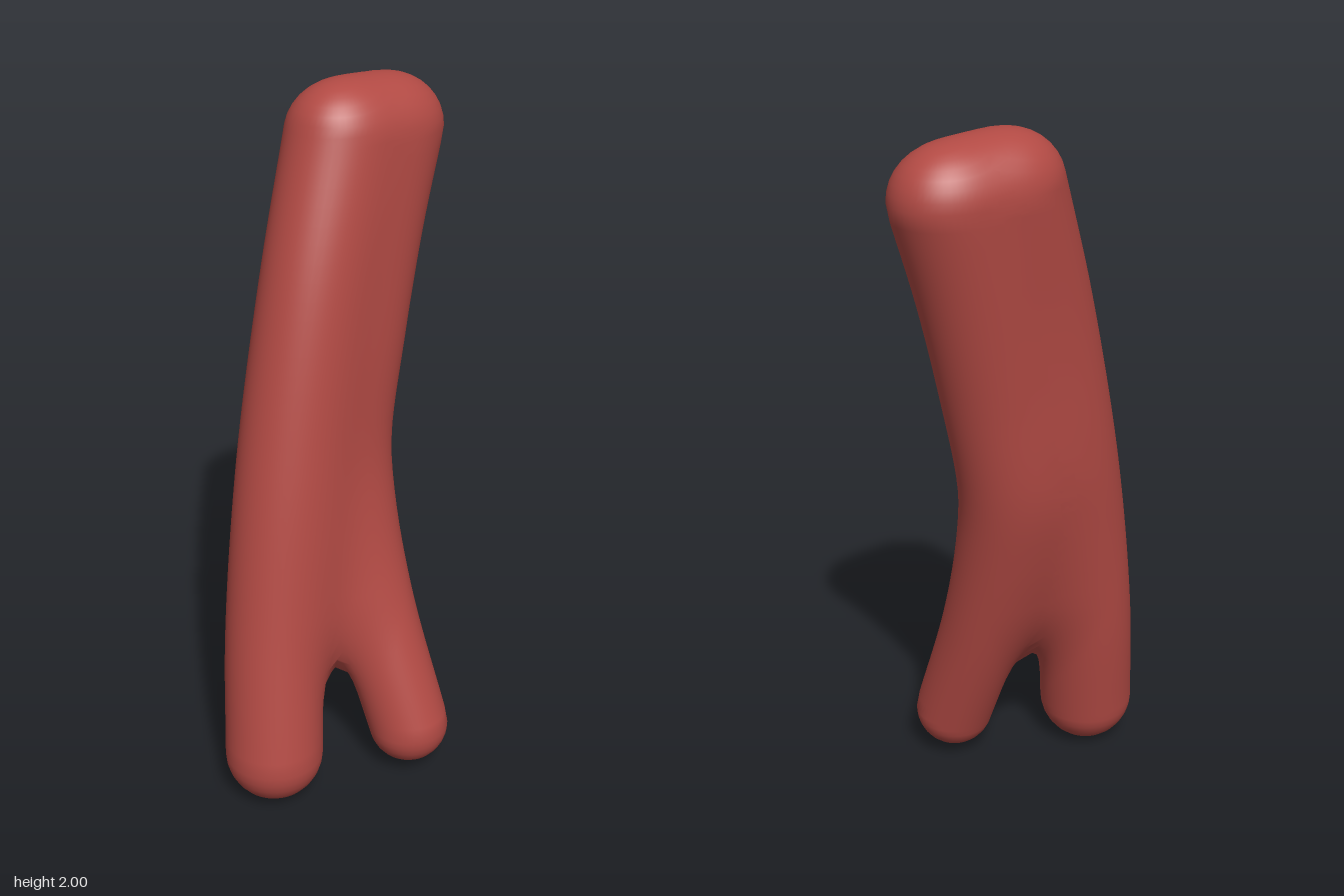
import * as THREE from 'three';

const { lerp, smoothstep, clamp } = THREE.MathUtils;

// A limb is a smooth spine with a radius at its foot and its top
function makeLimb(name, points, footRadius, topRadius) {
  const curve = new THREE.CatmullRomCurve3(points.map(p => new THREE.Vector3(...p)));
  const spine = curve.getSpacedPoints(36);
  return { name, spine, footRadius, topRadius };
}

const limbs = [
  makeLimb('mainLimb', [
    [-0.18, 0.145, 0.268], [-0.178, 0.5, 0.195], [-0.142, 1, 0.1],
    [-0.076, 1.5, -0.012], [-0.015, 1.862, -0.125],
  ], 0.141, 0.136),
  makeLimb('sideLimb', [
    [0.208, 0.145, 0.12], [0.1, 0.5, 0.035], [0.037, 0.8, -0.033], [0.018, 1, -0.078],
    [0.05, 1.3, -0.138], [0.092, 1.6, -0.208], [0.138, 1.845, -0.273],
  ], 0.117, 0.136),
];

// Distance from a point to the rounded surface of one limb
function limbDistance(p, { spine, footRadius, topRadius }) {
  let best = Infinity;
  for (let i = 0; i < spine.length - 1; i++) {
    const a = spine[i], b = spine[i + 1];
    const dx = b.x - a.x, dy = b.y - a.y, dz = b.z - a.z;
    const px = p.x - a.x, py = p.y - a.y, pz = p.z - a.z;
    const t = clamp((px * dx + py * dy + pz * dz) / (dx * dx + dy * dy + dz * dz), 0, 1);
    const radius = lerp(footRadius, topRadius, (i + t) / (spine.length - 1));
    best = Math.min(best, Math.hypot(px - t * dx, py - t * dy, pz - t * dz) - radius);
  }
  return best;
}

// Both limbs blended softly: tight at the feet, widest just above the fork
function blended(p) {
  const a = limbDistance(p, limbs[0]), b = limbDistance(p, limbs[1]);
  const k = 0.12 + 0.12 * smoothstep(p.y, 0.1, 0.6) - 0.055 * smoothstep(p.y, 0.7, 1.8);
  const h = Math.max(k - Math.abs(a - b), 0) / k;
  return Math.min(a, b) - h * h * k / 4;
}

function surfaceNormal(p) {
  const e = 0.008;
  const slope = axis => {
    const q = p.clone(), r = p.clone();
    q[axis] += e;
    r[axis] -= e;
    return blended(q) - blended(r);
  };
  return new THREE.Vector3(slope('x'), slope('y'), slope('z')).normalize();
}

// Walk out from the spine to the skin, stopping just inside the other limb
function castToSkin(origin, direction, own, other) {
  const p = origin.clone();
  for (let i = 0; i < 70; i++) {
    const d = blended(p);
    if (d > -0.0004) break;
    if (limbDistance(p, other) < limbDistance(p, own) - 0.05) break;
    p.addScaledVector(direction, Math.min(-d, 0.012));
  }
  return p;
}

function limbGeometry(own, other) {
  const sides = 48, capSteps = 8;
  const { spine } = own;
  // Rows of rays: rounded foot, length of the spine, rounded top
  const rows = [];
  for (let i = 0; i < capSteps; i++) {
    rows.push([spine[0], (i / capSteps - 1) * Math.PI / 2]);
  }
  spine.forEach(point => rows.push([point, 0]));
  for (let i = 1; i <= capSteps; i++) {
    rows.push([spine[spine.length - 1], i / capSteps * Math.PI / 2]);
  }
  const positions = [], normals = [], indices = [];
  rows.forEach(([origin, elevation], row) => {
    for (let j = 0; j <= sides; j++) {
      const angle = (j % sides) / sides * Math.PI * 2, c = Math.cos(elevation);
      const direction = new THREE.Vector3(
        Math.cos(angle) * c, Math.sin(elevation), Math.sin(angle) * c);
      const p = castToSkin(origin, direction, own, other);
      positions.push(p.x, p.y, p.z);
      normals.push(...surfaceNormal(p).toArray());
      if (row < rows.length - 1 && j < sides) {
        const a = row * (sides + 1) + j, b = a + sides + 1;
        indices.push(a, b, a + 1, b, b + 1, a + 1);
      }
    }
  });
  const geometry = new THREE.BufferGeometry();
  geometry.setAttribute('position', new THREE.Float32BufferAttribute(positions, 3));
  geometry.setAttribute('normal', new THREE.Float32BufferAttribute(normals, 3));
  geometry.setIndex(indices);
  return geometry;
}

export function createModel() {
  const group = new THREE.Group();
  group.name = 'forkedStem';
  const red = new THREE.MeshStandardMaterial({ color: 0xb24a44 });
  red.name = 'brickRed';
  limbs.forEach((limb, i) => {
    const mesh = new THREE.Mesh(limbGeometry(limb, limbs[1 - i]), red);
    mesh.name = limb.name;
    group.add(mesh);
  });
  return group;
}
